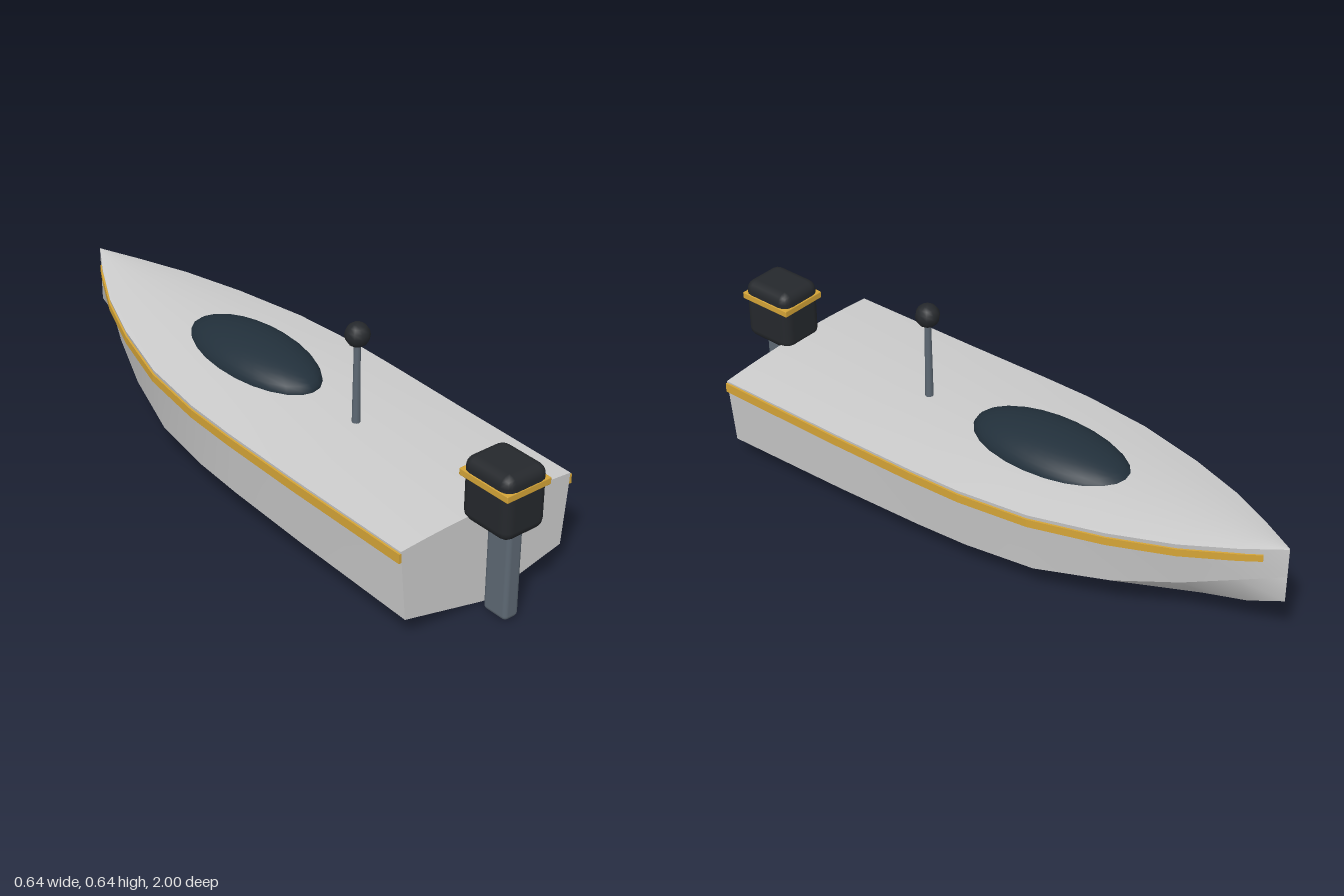
import * as THREE from 'three';
import { RoundedBoxGeometry } from 'three/addons/geometries/RoundedBoxGeometry.js';

const mat = (color, extra = {}) => new THREE.MeshStandardMaterial({ color, ...extra });

// Hull stations from stern to bow: z, half width, sheer y, chine/sheer width ratio, chine y, keel y, deck crown
const stations = [
  [0.85, 0.313, 0.297, 0.93, 0.068, 0, 0.014],
  [0.40, 0.314, 0.301, 0.93, 0.083, 0, 0.016],
  [0.10, 0.313, 0.307, 0.92, 0.094, 0, 0.02],
  [-0.08, 0.308, 0.312, 0.91, 0.101, 0, 0.022],
  [-0.31, 0.281, 0.32, 0.89, 0.11, 0, 0.024],
  [-0.54, 0.22, 0.333, 0.84, 0.143, 0.028, 0.02],
  [-0.73, 0.15, 0.346, 0.77, 0.19, 0.08, 0.014],
  [-0.88, 0.073, 0.359, 0.68, 0.236, 0.13, 0.007],
  [-1.0, 0.002, 0.372, 0.5, 0.276, 0.19, 0.002],
];

// Surface through equal-length rows of [x, y, z]; mirrored rows need the flip
function loft(rows, flip = false, closed = false) {
  const n = rows[0].length, index = [];
  for (let i = 0; i < rows.length - 1; i++) {
    for (let j = 0; j < (closed ? n : n - 1); j++) {
      const k = (j + 1) % n;
      const a = i * n + j, b = a + n, c = i * n + k, d = c + n;
      if (flip) index.push(a, c, b, c, d, b);
      else index.push(a, b, c, c, b, d);
    }
  }
  const geo = new THREE.BufferGeometry();
  geo.setAttribute('position', new THREE.Float32BufferAttribute(rows.flat(2), 3));
  geo.setIndex(index);
  geo.computeVertexNormals();
  return geo;
}

// Square-edged rail that follows the topsides just below the sheer
function railGeometry(side) {
  const path = stations.slice(0, -1).map((s) => [...s]);
  const a = stations[7], b = stations[8];
  path.push(a.map((v, i) => v + (b[i] - v) * 0.5));
  const centre = path.map(([z, w, sy, r, cy], i) => {
    const y = sy - 0.021 - 0.008 * i / (path.length - 1);
    const t = (y - cy) / (sy - cy);
    return [w * (r + (1 - r) * t), y, z];
  });
  const rows = centre.map(([x, y, z], i) => {
    const p = centre[Math.max(i - 1, 0)], q = centre[Math.min(i + 1, centre.length - 1)];
    const len = Math.hypot(q[0] - p[0], q[2] - p[2]);
    const nx = (p[2] - q[2]) / len, nz = (q[0] - p[0]) / len;
    const h = 0.015 - 0.004 * i / (centre.length - 1);
    return [[-0.008, -h], [0.008, -h], [0.008, h], [-0.008, h]]
      .map(([o, dy]) => [side * (x + nx * o), y + dy, z + nz * o]);
  });
  const geo = loft(rows, side < 0, true);
  // close both ends
  const e = (rows.length - 1) * 4;
  const caps = side > 0 ? [0, 1, 2, 0, 2, 3, e, e + 2, e + 1, e, e + 3, e + 2]
    : [0, 2, 1, 0, 3, 2, e, e + 1, e + 2, e, e + 2, e + 3];
  geo.setIndex([...geo.index.array, ...caps]);
  const flat = geo.toNonIndexed();
  flat.computeVertexNormals();
  return flat;
}

export function createModel() {
  const boat = new THREE.Group();
  boat.name = 'motorboat';
  const add = (name, geometry, material, x = 0, y = 0, z = 0, parent = boat) => {
    const mesh = new THREE.Mesh(geometry, material);
    mesh.name = name;
    mesh.position.set(x, y, z);
    parent.add(mesh);
    return mesh;
  };
  const hullMat = mat(0xcccccc, { side: THREE.DoubleSide });
  const gold = mat(0xd4a437), black = mat(0x25282c), steel = mat(0x5d6873);

  // Hull bottom, topsides and rub rails, mirrored
  for (const side of [1, -1]) {
    const label = side > 0 ? 'left' : 'right';
    add(label + 'Bottom', loft(stations.map(([z, w, , r, cy, ky]) =>
      [[0, ky, z], [side * w * r, cy, z]]), side < 0), hullMat);
    add(label + 'Topside', loft(stations.map(([z, w, sy, r, cy]) =>
      [[side * w * r, cy, z], [side * w, sy, z]]), side < 0), hullMat);
    add(label + 'RubRail', railGeometry(side), gold);
  }

  // Crowned deck
  add('deck', loft(stations.map(([z, w, sy, , , , crown]) =>
    Array.from({ length: 9 }, (_, i) => {
      const u = 1 - i / 4;
      return [w * u, sy + crown * (1 - u * u), z];
    }))), hullMat);

  // Transom
  const [z0, w, sy, r, cy, ky, crown] = stations[0];
  const outline = new THREE.Shape();
  outline.moveTo(0, ky);
  outline.lineTo(w * r, cy);
  for (let i = 0; i <= 8; i++) {
    const u = 1 - i / 4;
    outline.lineTo(w * u, sy + crown * (1 - u * u));
  }
  outline.lineTo(-w * r, cy);
  add('transom', new THREE.ShapeGeometry(outline), hullMat, 0, 0, z0);

  // Canopy dome
  const dome = new THREE.SphereGeometry(1, 24, 10, 0, Math.PI * 2, 0, Math.PI / 2);
  dome.scale(0.136, 0.08, 0.28);
  add('canopy', dome, mat(0x22303b, { side: THREE.DoubleSide }), 0, 0.325, -0.18);

  // Mast and ball
  add('mast', new THREE.CylinderGeometry(0.01, 0.013, 0.28, 10), steel, 0, 0.45, 0.295);
  add('mastBall', new THREE.SphereGeometry(0.038, 10, 8), black, 0, 0.605, 0.295);

  // Outboard motor
  const motor = new THREE.Group();
  motor.name = 'outboardMotor';
  boat.add(motor);
  add('motorLeg', new RoundedBoxGeometry(0.054, 0.32, 0.09, 2, 0.014), steel, 0, 0.162, 0.918, motor);
  add('motorCowl', new RoundedBoxGeometry(0.154, 0.202, 0.182, 2, 0.032), black, 0, 0.391, 0.907, motor);
  add('cowlBand', new RoundedBoxGeometry(0.16, 0.022, 0.188, 1, 0.003), gold, 0, 0.438, 0.906, motor);
  return boat;
}
